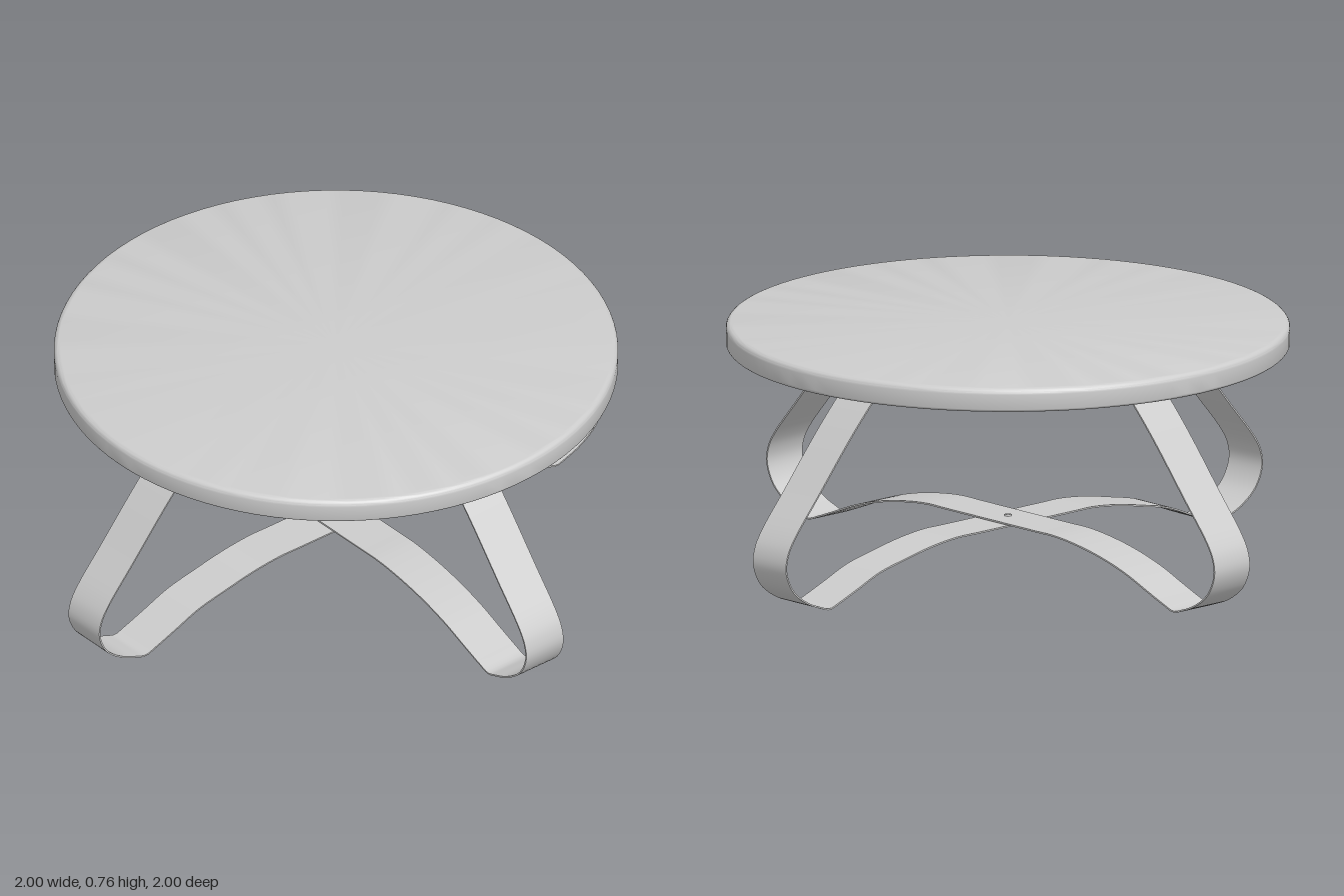
import * as THREE from 'three';
import { toCreasedNormals } from 'three/addons/utils/BufferGeometryUtils.js';

const WIDTH = 0.147, THICK = 0.005;

// Centre line of a bent band: mounting tab, leg, foot curl and low arch, mirrored to the far side
function bandPath(archY) {
  const leg = new THREE.CatmullRomCurve3([
    [0.58, 0.68], [0.64, 0.62], [0.70, 0.557], [0.755, 0.495], [0.86, 0.37], [0.965, 0.245],
    [0.99, 0.2], [0.997, 0.15], [0.968, 0.085], [0.906, 0.037], [0.85, 0.014], [0.815, 0.004],
    [0.775, 0.017], [0.7, 0.046], [0.607, 0.083], [0.5, archY - 0.032], [0.39, archY - 0.011],
    [0.286, archY], [0.2, archY],
  ].map(([x, y]) => new THREE.Vector3(x, y, 0)));
  const half = [new THREE.Vector2(0.295, 0.68),
    ...leg.getSpacedPoints(100).map(p => new THREE.Vector2(p.x, p.y))];
  return [...half, ...half.map(p => new THREE.Vector2(-p.x, p.y)).reverse()];
}

// Flat band of even thickness following a path
function bandGeometry(archY) {
  const path = bandPath(archY);
  const side = d => path.map((p, i) => {
    const a = path[Math.max(i - 1, 0)], b = path[Math.min(i + 1, path.length - 1)];
    const t = b.clone().sub(a).normalize();
    return new THREE.Vector2(p.x - t.y * d, p.y + t.x * d);
  });
  const shape = new THREE.Shape([...side(THICK / 2), ...side(-THICK / 2).reverse()]);
  const geo = new THREE.ExtrudeGeometry(shape, { depth: WIDTH, bevelEnabled: false });
  geo.translate(0, 0, -WIDTH / 2);
  return toCreasedNormals(geo, 0.5);
}

export function createModel() {
  const model = new THREE.Group();
  model.name = 'roundTable';
  const grey = new THREE.MeshStandardMaterial({ color: 0xcccccc });
  grey.name = 'lightGrey';

  const add = (parent, name, geo, x = 0, y = 0, z = 0) => {
    const mesh = new THREE.Mesh(geo, grey);
    mesh.name = name;
    mesh.position.set(x, y, z);
    parent.add(mesh);
    return mesh;
  };

  // Round top with softened rims
  const R = 0.862, Y0 = 0.684, Y1 = 0.759;
  const profile = [new THREE.Vector2(0, Y0)];
  const corner = (cx, cy, r, from) => {
    for (let i = 0; i <= 6; i++) {
      const a = from + (i / 6) * Math.PI / 2;
      profile.push(new THREE.Vector2(cx + r * Math.cos(a), cy + r * Math.sin(a)));
    }
  };
  corner(R - 0.012, Y0 + 0.012, 0.012, -Math.PI / 2);
  corner(R - 0.02, Y1 - 0.02, 0.02, 0);
  profile.push(new THREE.Vector2(0, Y1));
  add(model, 'tableTop', toCreasedNormals(new THREE.LatheGeometry(profile, 96), 0.5));

  // Two crossing bands, each forming a pair of legs, with two screws per mounting tab
  [0.146, 0.139].forEach((archY, i) => {
    const pair = new THREE.Group();
    pair.name = i ? 'frontBackLegs' : 'sideLegs';
    pair.rotation.y = i * Math.PI / 2;
    add(pair, 'legBand', bandGeometry(archY));
    for (const x of [-0.46, -0.38, 0.38, 0.46]) {
      add(pair, 'tabScrew', new THREE.CylinderGeometry(0.013, 0.010, 0.012, 16), x, 0.673, 0);
    }
    model.add(pair);
  });

  // Centre bolt through the crossing, with washer and nut underneath
  add(model, 'boltHead', new THREE.CylinderGeometry(0.010, 0.012, 0.006, 20), 0, 0.15, 0);
  add(model, 'washer', new THREE.BoxGeometry(0.06, 0.005, 0.06), 0, 0.134, 0);
  add(model, 'nut', new THREE.CylinderGeometry(0.02, 0.02, 0.012, 6), 0, 0.127, 0);
  add(model, 'boltEnd', new THREE.CylinderGeometry(0.010, 0.010, 0.012, 16), 0, 0.121, 0);

  return model;
}
